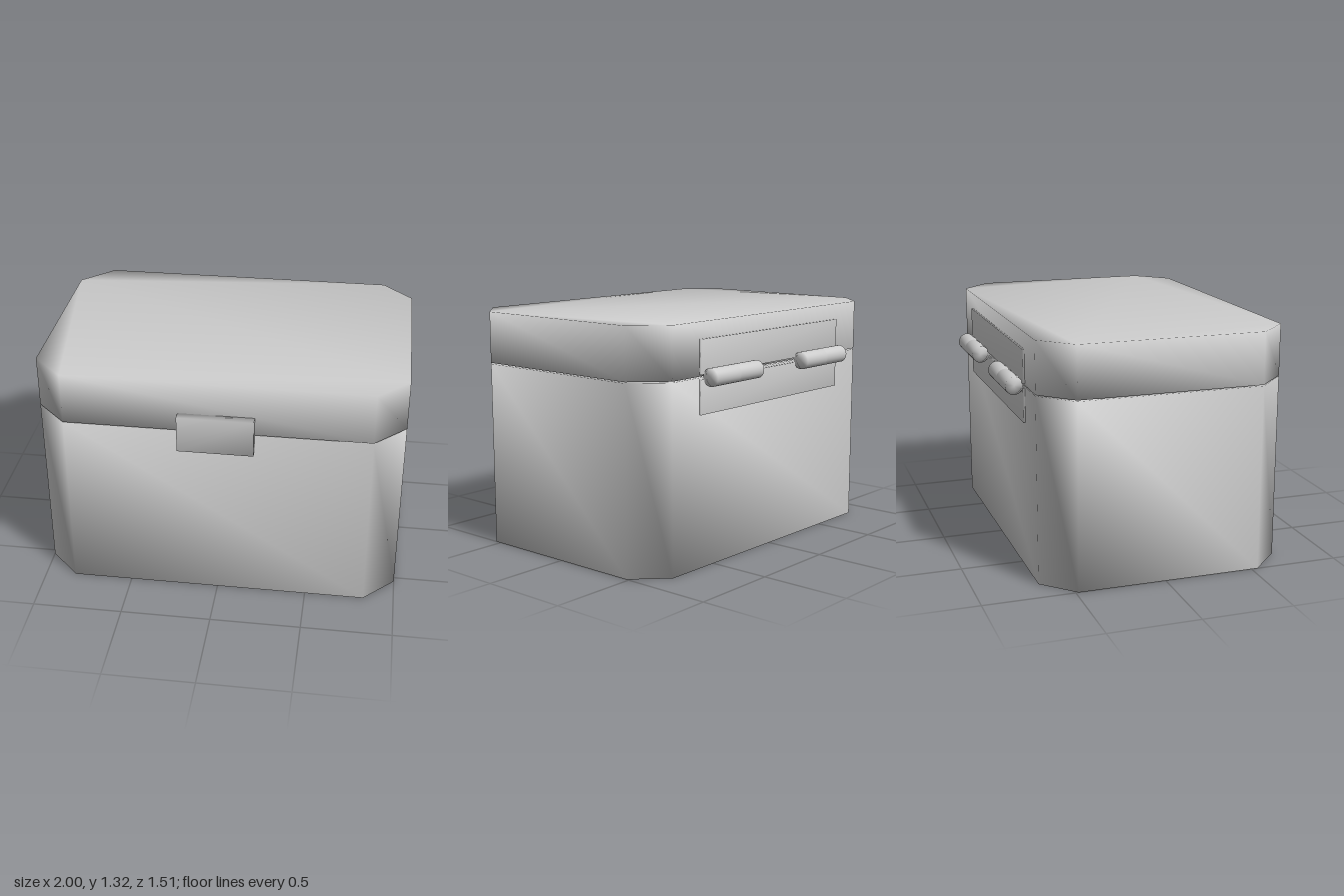
import * as THREE from 'three';
import { mergeVertices } from 'three/addons/utils/BufferGeometryUtils.js';

const material = new THREE.MeshStandardMaterial({ color: 0xcccccc });

// Weld every corner so normals are averaged across edges (soft shaded look)
function soften(geometry) {
  geometry.deleteAttribute('normal');
  geometry.deleteAttribute('uv');
  const welded = mergeVertices(geometry, 1e-4);
  welded.computeVertexNormals();
  return welded;
}

function part(name, geometry, parent) {
  const mesh = new THREE.Mesh(soften(geometry), material);
  mesh.name = name;
  parent.add(mesh);
  return mesh;
}

// Block given by its minimum and maximum corners
function block([x0, y0, z0], [x1, y1, z1]) {
  return new THREE.BoxGeometry(x1 - x0, y1 - y0, z1 - z0)
    .translate((x0 + x1) / 2, (y0 + y1) / 2, (z0 + z1) / 2);
}

// Rectangular prism with chamfered vertical corners, from y0 to y1
function chamferedPrism(y0, y1) {
  const front = 0.705, back = -0.655, c = 0.17;
  const outline = [
    [-1 + c, front], [1 - c, front], [1, front - c], [1, back + c],
    [1 - c, back], [-1 + c, back], [-1, back + c], [-1, front - c],
  ].map(([x, z]) => new THREE.Vector2(x, -z));
  return new THREE.ExtrudeGeometry(new THREE.Shape(outline), { depth: y1 - y0, bevelEnabled: false })
    .rotateX(-Math.PI / 2)
    .translate(0, y0, 0);
}

export function createModel() {
  const box = new THREE.Group();
  box.name = 'hingedBox';

  // Container and lid, with a hairline seam between them
  part('body', chamferedPrism(0, 1.025), box);
  part('lid', chamferedPrism(1.031, 1.315), box);

  // Front latch
  part('latch', block([-0.205, 0.93, 0.7], [0.205, 1.135, 0.755]), box);

  // Back hinge: two thin leaves and two pairs of knuckles
  const hinge = new THREE.Group();
  hinge.name = 'hinge';
  box.add(hinge);
  part('lowerLeaf', block([-0.62, 0.83, -0.667], [0.62, 1.015, -0.645]), hinge);
  part('upperLeaf', block([-0.62, 1.041, -0.667], [0.62, 1.225, -0.645]), hinge);
  for (const x of [-0.5, -0.305, 0.3, 0.495]) {
    const knuckle = part('knuckle', new THREE.CylinderGeometry(0.049, 0.049, 0.196, 32).rotateZ(Math.PI / 2), hinge);
    knuckle.position.set(x, 1.028, -0.707);
  }
  return box;
}
